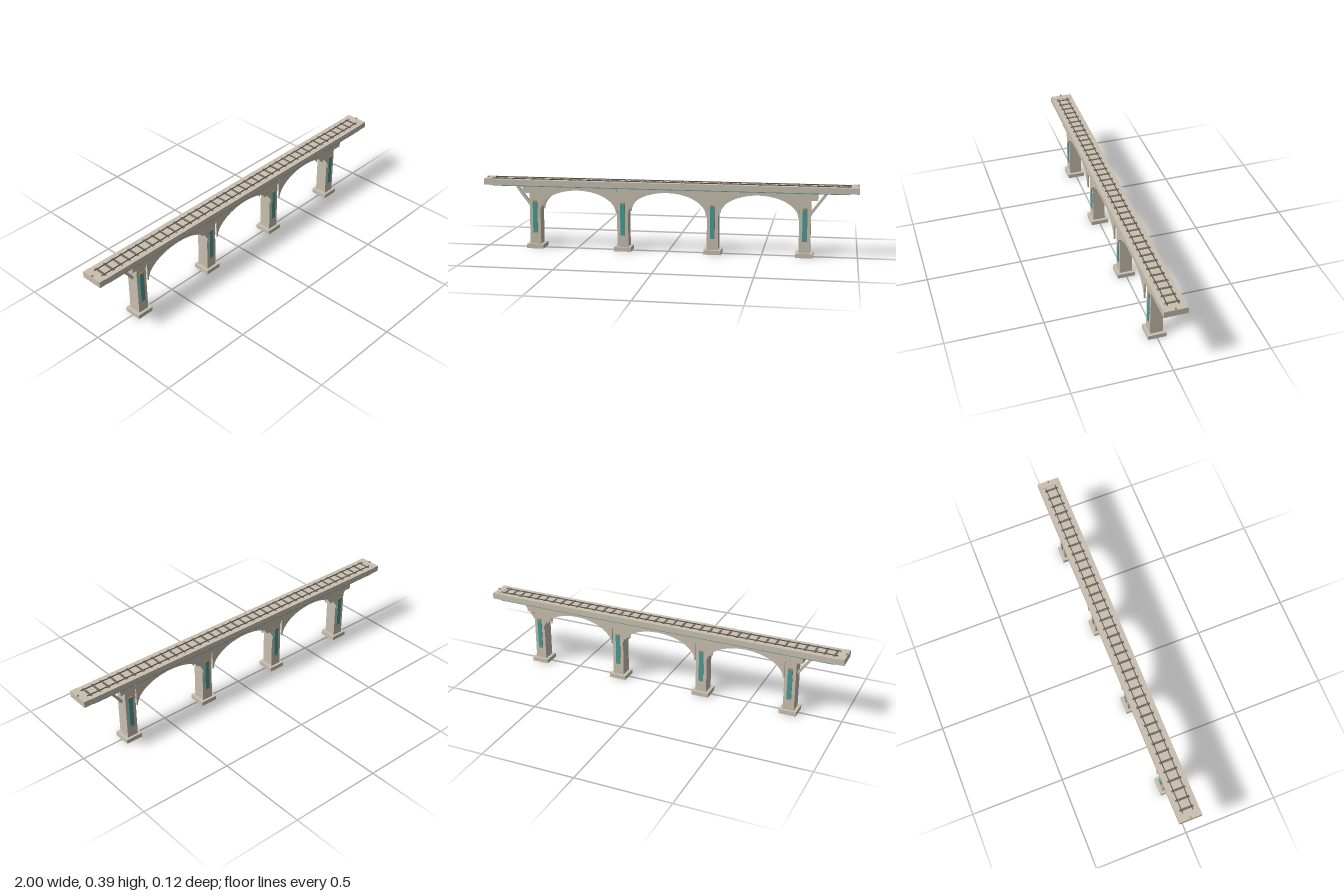
import * as THREE from 'three';

export function createModel() {
  const bridge = new THREE.Group();
  bridge.name = 'viaduct';
  const mat = (name, color) => {
    const m = new THREE.MeshStandardMaterial({ color });
    m.name = name;
    return m;
  };
  const stone = mat('stone', 0xc9c0b0);
  const teal = mat('teal', 0x4a9c98);
  const gold = mat('gold', 0xb8924a);
  const wood = mat('sleeper', 0x6f6b63);
  const steel = mat('rail', 0x55534e);

  // Box given by its centre in x and z, and its bottom and top in y
  function box(name, material, w, y0, y1, d, x = 0, z = 0, parent = bridge) {
    const mesh = new THREE.Mesh(new THREE.BoxGeometry(w, y1 - y0, d), material);
    mesh.position.set(x, (y0 + y1) / 2, z);
    mesh.name = name;
    parent.add(mesh);
    return mesh;
  }

  // Deck with end blocks and finials
  box('deck', stone, 1.93, 0.346, 0.377, 0.12);
  for (const s of [-1, 1]) {
    box('endBlock', stone, 0.035, 0.346, 0.379, 0.12, s * 0.9825);
    box('finial', gold, 0.008, 0.379, 0.386, 0.008, s * 0.994);
    box('edgeStrip', teal, 1.9, 0.342, 0.346, 0.009, 0, s * 0.0535);
    box('rail', steel, 1.92, 0.377, 0.381, 0.004, 0, s * 0.027);
  }

  // Sleepers
  const sleepers = 38;
  for (let i = 0; i < sleepers; i++) {
    const x = -0.943 + (i * 1.886) / (sleepers - 1);
    box('sleeper', wood, 0.011, 0.376, 0.3795, 0.074, x);
  }

  // Piers with footing, capital, inlaid panels and slanted struts
  for (const x of [-0.725, -0.2417, 0.2417, 0.725]) {
    const pier = new THREE.Group();
    pier.name = 'pier';
    pier.position.x = x;
    bridge.add(pier);
    box('footing', stone, 0.092, 0, 0.023, 0.094, 0, 0, pier);
    box('shaft', stone, 0.06, 0.023, 0.305, 0.066, 0, 0, pier);
    box('capital', stone, 0.128, 0.305, 0.346, 0.094, 0, 0, pier);
    for (const s of [-1, 1]) {
      box('panel', teal, 0.025, 0.085, 0.255, 0.004, 0, s * 0.034, pier);
      box('panelCap', gold, 0.025, 0.255, 0.263, 0.005, 0, s * 0.035, pier);
      const strut = box('strut', stone, 0.014, 0.217, 0.348, 0.016, s * 0.068, 0, pier);
      strut.rotation.z = -s * Math.atan2(0.08, 0.108);
    }
  }

  // Arched spandrel plates on both faces of each span
  const springY = 0.207, rise = 0.118, half = 0.208, outer = 0.214;
  const shape = new THREE.Shape();
  shape.moveTo(-outer, springY);
  for (let i = 0; i <= 28; i++) {
    const a = Math.PI * (1 - i / 28);
    shape.lineTo(half * Math.cos(a), springY + rise * Math.sin(a));
  }
  shape.lineTo(outer, springY);
  shape.lineTo(outer, 0.346);
  shape.lineTo(-outer, 0.346);
  const archGeometry = new THREE.ExtrudeGeometry(shape, { depth: 0.008, bevelEnabled: false });
  archGeometry.translate(0, 0, -0.004);
  for (const x of [-0.4833, 0, 0.4833]) {
    for (const s of [-1, 1]) {
      const arch = new THREE.Mesh(archGeometry, stone);
      arch.name = 'arch';
      arch.position.set(x, 0, s * 0.0435);
      bridge.add(arch);
    }
  }
  return bridge;
}
